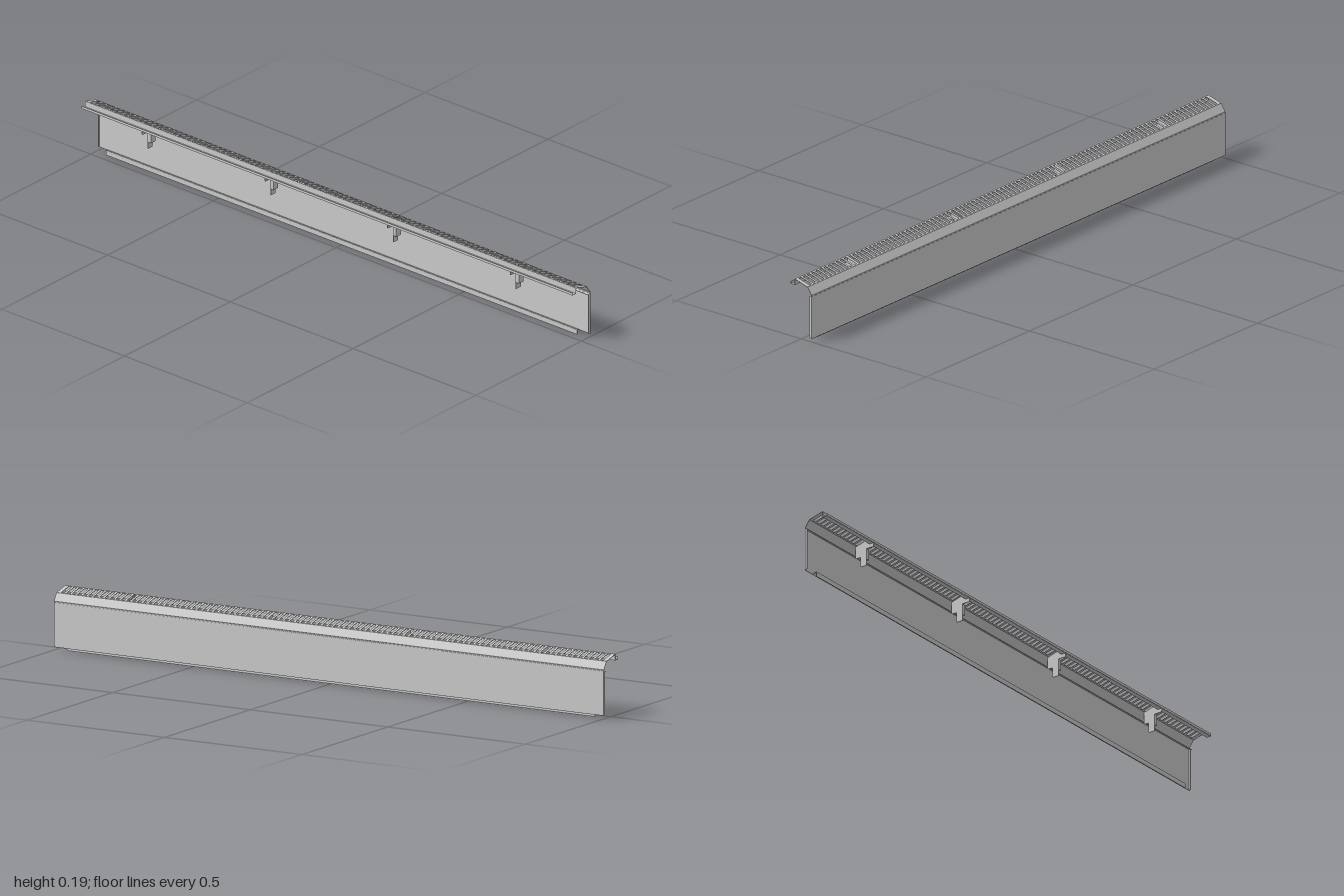
import * as THREE from 'three';

const T = 0.0015; // sheet thickness
const mat = new THREE.MeshStandardMaterial({ color: 0xcccccc, side: THREE.DoubleSide });

// Sheet metal folded along a [z, y] profile and running along x
function foldedSheet(name, profile, length) {
  const group = new THREE.Group();
  group.name = name;
  for (let i = 0; i < profile.length - 1; i++) {
    const [z0, y0] = profile[i], [z1, y1] = profile[i + 1];
    const dz = z1 - z0, dy = y1 - y0;
    const fold = new THREE.Mesh(new THREE.BoxGeometry(length, T, Math.hypot(dz, dy)), mat);
    fold.name = name + 'Fold' + (i + 1);
    fold.position.set(0, (y0 + y1) / 2, (z0 + z1) / 2);
    fold.rotation.x = Math.atan2(-dy, dz);
    group.add(fold);
  }
  return group;
}

// Flat plate standing across x, cut to a [z, y] outline
function sidePlate(name, outline, x, thickness) {
  const shape = new THREE.Shape(outline.map(([z, y]) => new THREE.Vector2(-z, y)));
  const geo = new THREE.ExtrudeGeometry(shape, { depth: thickness, bevelEnabled: false });
  geo.rotateY(Math.PI / 2).translate(x - thickness / 2, 0, 0);
  const mesh = new THREE.Mesh(geo, mat);
  mesh.name = name;
  return mesh;
}

// Sloping top sheet pierced by a row of slots
function topGrille([z0, y0], [z1, y1], slots) {
  const dz = z1 - z0, dy = y1 - y0, half = Math.hypot(dz, dy) / 2;
  const rect = (path, x, w, h) => path.moveTo(x - w, -h).lineTo(x + w, -h).lineTo(x + w, h).lineTo(x - w, h).closePath();
  const shape = rect(new THREE.Shape(), 0, 1, half);
  const pitch = 1.98 / slots;
  for (let i = 0; i < slots; i++) {
    shape.holes.push(rect(new THREE.Path(), -0.99 + pitch * (i + 0.5), pitch * 0.3, half - 0.005));
  }
  const geo = new THREE.ExtrudeGeometry(shape, { depth: T, bevelEnabled: false });
  geo.rotateX(Math.PI / 2).translate(0, T / 2, 0);
  const mesh = new THREE.Mesh(geo, mat);
  mesh.name = 'topGrille';
  mesh.position.set(0, (y0 + y1) / 2, (z0 + z1) / 2);
  mesh.rotation.x = Math.atan2(-dy, dz);
  return mesh;
}

function bracket(x) {
  const group = new THREE.Group();
  group.name = 'bracket';
  const outline = [
    [0.025, 0.191], [0.025, 0.173], [0.042, 0.173], [0.042, 0.163], [0.039, 0.16],
    [0.014, 0.16], [0.014, 0.103], [-0.008, 0.103], [-0.008, 0.136],
    [-0.024, 0.136], [-0.027, 0.139], [-0.027, 0.174], [-0.024, 0.177],
  ];
  group.add(sidePlate('bracketWeb', outline, x - 0.005, 0.002));
  // Short second cheek and the flange joining the two
  const cheek = [[0.014, 0.16], [0.014, 0.125], [-0.008, 0.125], [-0.008, 0.16]];
  group.add(sidePlate('bracketCheek', cheek, x + 0.006, 0.002));
  const flange = new THREE.Mesh(new THREE.BoxGeometry(0.012, 0.035, T), mat);
  flange.name = 'bracketFlange';
  flange.position.set(x, 0.1425, 0.013);
  group.add(flange);
  return group;
}

export function createModel() {
  const model = new THREE.Group();
  model.name = 'heaterCover';

  // Tall panel with a hemmed top edge and a folded bottom
  model.add(foldedSheet('panel', [[-0.033, 0.148], [-0.036, 0.15], [-0.0413, 0.15], [-0.0413, 0.01]], 2));
  model.add(foldedSheet('bottomLip', [[-0.0413, 0.01], [-0.034, 0.014], [-0.027, 0.016], [-0.027, 0]], 1.92));
  const endOutline = [[-0.042, 0.01], [-0.034, 0.014], [-0.034, 0.149], [-0.042, 0.151]];
  for (const s of [-1, 1]) model.add(sidePlate('panelEnd', endOutline, s * 0.999, 0.002));

  // Sloping shoulder with its hooked lower edge
  model.add(foldedSheet('shoulder', [[-0.025, 0.178], [-0.041, 0.154], [-0.0405, 0.151], [-0.031, 0.147]], 2));

  // Slotted top and the stepped rail along its front
  model.add(topGrille([-0.025, 0.178], [0.026, 0.192], 100));
  model.add(foldedSheet('frontRail', [[0.026, 0.192], [0.026, 0.173], [0.042, 0.173], [0.042, 0.181]], 2));

  // Mounting brackets
  for (const x of [-0.75, -0.25, 0.25, 0.75]) model.add(bracket(x));

  return model;
}
